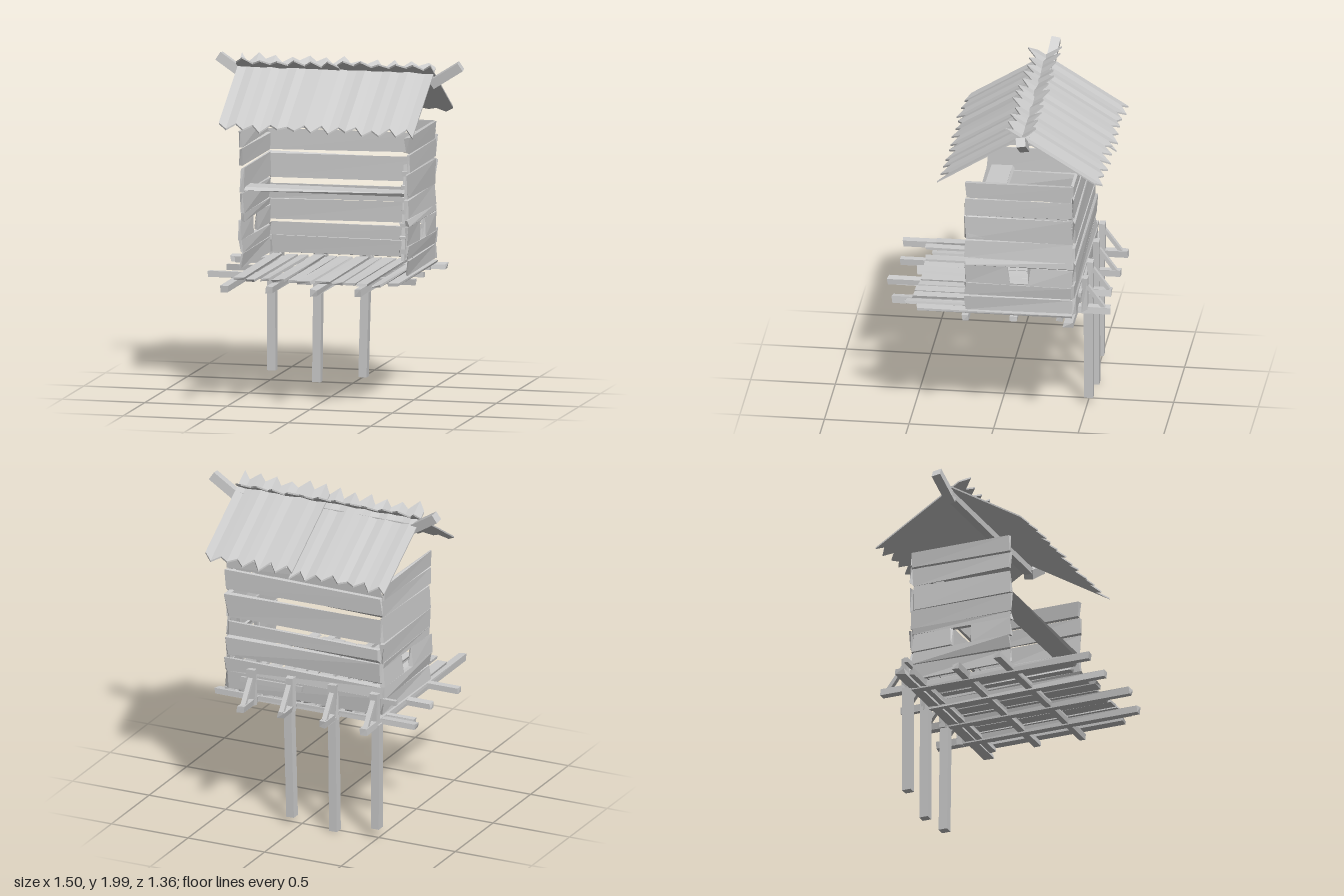
import * as THREE from 'three';

const material = new THREE.MeshStandardMaterial({ color: 0xcccccc, flatShading: true, side: THREE.DoubleSide });

// Seeded generator for rough-cut irregularity
let seed = 7;
const rand = () => {
  seed = (seed * 16807) % 2147483647;
  return seed / 2147483647 - 0.5;
};

export function createModel() {
  const model = new THREE.Group();

  const add = (name, geo) => {
    geo.computeVertexNormals();
    const mesh = new THREE.Mesh(geo, material);
    mesh.name = name;
    model.add(mesh);
    return mesh;
  };

  // Rough board spanning two corners; the eight corners shift by up to half of rough
  const board = (name, [x0, x1], [y0, y1], [z0, z1], rough = [0, 0, 0]) => {
    const geo = new THREE.BoxGeometry(x1 - x0, y1 - y0, z1 - z0);
    const p = geo.attributes.position;
    const shift = Array.from({ length: 8 }, () => rough.map((r) => r * rand()));
    for (let i = 0; i < p.count; i++) {
      const c = (p.getX(i) > 0 ? 1 : 0) + (p.getY(i) > 0 ? 2 : 0) + (p.getZ(i) > 0 ? 4 : 0);
      p.setXYZ(i, p.getX(i) + shift[c][0], p.getY(i) + shift[c][1], p.getZ(i) + shift[c][2]);
    }
    const mesh = add(name, geo);
    mesh.position.set((x0 + x1) / 2, (y0 + y1) / 2, (z0 + z1) / 2);
    return mesh;
  };

  // Straight timber between two points
  const timber = (name, a, b, w, h) => {
    const from = new THREE.Vector3(...a), to = new THREE.Vector3(...b);
    const mesh = add(name, new THREE.BoxGeometry(w, h, from.distanceTo(to)));
    mesh.position.copy(from).add(to).multiplyScalar(0.5);
    mesh.lookAt(to);
    return mesh;
  };

  // Joists, back posts, braces and the three long stilts
  const joists = [
    [-0.48, -0.67, 0.66, 0.06], [-0.21, -0.66, 0.64, 0], [0.07, -0.64, 0.68, 0.04], [0.32, -0.67, 0.62, null],
  ];
  joists.forEach(([x, zBack, zFront, foot], i) => {
    board('joist', [x - 0.022, x + 0.022], [0.7, 0.742], [zBack, zFront], [0.01, 0.008, 0.01]);
    board('backPost', [x - 0.025, x + 0.025], [0.7, 0.915 + 0.01 * (i % 2)], [-0.535, -0.5], [0.01, 0.01, 0]);
    timber('brace', [x, 0.87, -0.53], [x, 0.735, -0.63], 0.03, 0.022);
    if (foot !== null) {
      const z = i === 0 ? -0.5 : -0.508;
      timber('stilt', [x + 0.01 * (i - 1), 0.72, z], [x - 0.008, foot, z], 0.054, 0.05);
    }
  });

  // Cross beams under the deck
  [[-0.45, -0.72, 0.58, 0.06], [-0.39, -0.68, 0.5, 0.035], [-0.12, -0.66, 0.53, 0.04], [0.16, -0.7, 0.55, 0.04]]
    .forEach(([z, x0, x1, w]) =>
      board('crossBeam', [x0, x1], [0.71, 0.742], [z - w / 2, z + w / 2], [0.01, 0.008, 0.008]));

  // Deck slats: x range and front end
  [
    [-0.475, -0.415, 0.455], [-0.39, -0.33, 0.51], [-0.31, -0.26, 0.46], [-0.23, -0.165, 0.49],
    [-0.135, -0.08, 0.485], [-0.07, 0.01, 0.52], [0.03, 0.115, 0.475], [0.13, 0.19, 0.48],
    [0.2, 0.275, 0.495], [0.285, 0.345, 0.5], [0.38, 0.435, 0.53], [0.46, 0.52, 0.455],
  ].forEach(([x0, x1, z]) =>
    board('deckSlat', [x0, x1], [0.744, 0.76], [-0.46, z], [0.012, 0.006, 0.015]));

  // Side walls with a window gap between board pieces
  const full = [-0.465, 0.165];
  const sideBoards = [
    [0.765, 0.855, full], [0.86, 0.932, full],
    [0.935, 1.05, [-0.46, -0.21]], [0.935, 1.05, [-0.09, 0.165]],
    [1.048, 1.09, full], [1.095, 1.21, full], [1.215, 1.36, full], [1.375, 1.475, full], [1.485, 1.58, full],
  ];
  for (const s of [-1, 1]) {
    for (const [y0, y1, z] of sideBoards) {
      const x = s * 0.503 + 0.01 * rand();
      board('sideWallBoard', [x - 0.009, x + 0.009], [y0, y1], z, [0.018, 0.012, 0.022]);
    }
  }

  // Back wall boards
  [[0.77, 0.865], [0.87, 0.945], [0.97, 1.09], [1.095, 1.175], [1.215, 1.36], [1.385, 1.505], [1.51, 1.59]]
    .forEach(([y0, y1]) => {
      const z = -0.473 + 0.01 * rand();
      board('backWallBoard', [-0.5, 0.505], [y0, y1], [z - 0.008, z + 0.008], [0.04, 0.02, 0.01]);
    });
  board('backRail', [0, 0.4], [0.83, 0.86], [-0.505, -0.485], [0.01, 0.01, 0]);
  board('sideStub', [-0.6, -0.48], [0.84, 0.87], [-0.48, -0.455]);

  // Loft shelf across the open front
  board('loftShelf', [-0.49, 0.5], [1.228, 1.246], [0.0, 0.15], [0.02, 0.008, 0.05]);

  // Ladder leaning on the inside of the back wall
  const ladderZ = (y) => -0.36 - ((y - 0.76) / 0.56) * 0.08;
  [[0.34, 1.32], [0.455, 1.31]].forEach(([x, top]) =>
    timber('ladderRail', [x, 0.76, ladderZ(0.76)], [x - 0.003, top, ladderZ(top)], 0.022, 0.022));
  for (let i = 0; i < 7; i++) {
    const y = 0.82 + i * 0.075;
    board('ladderRung', [0.32, 0.475], [y - 0.011, y + 0.011], [ladderZ(y) + 0.005, ladderZ(y) + 0.022], [0.02, 0.012, 0]);
  }

  // Wavy roof sheets with torn edges, crossing each other at the ridge
  const roofSheet = (name, x0, x1, zBack, zFront, slope, lift = 0) => {
    const n = Math.round((x1 - x0) * 19);
    const geo = new THREE.BoxGeometry(x1 - x0, 0.01, 1, n, 1, 1);
    const jag = [-1, 1].map(() =>
      Array.from({ length: n + 1 }, (_, i) => (i % 2 ? 1 : -1) * (0.022 + 0.022 * rand()) + 0.015 * rand()));
    const wave = Array.from({ length: n + 1 }, () => 0.012 * rand());
    const p = geo.attributes.position;
    for (let i = 0; i < p.count; i++) {
      const col = Math.round(((p.getX(i) + (x1 - x0) / 2) / (x1 - x0)) * n);
      const front = p.getZ(i) > 0 ? 1 : 0;
      const z = (front ? zFront : zBack) + jag[front][col];
      const y = 1.91 + slope * (z + 0.17) + wave[col] + lift + p.getY(i);
      p.setXYZ(i, p.getX(i) + (x0 + x1) / 2, y, z);
    }
    return add(name, geo);
  };
  roofSheet('frontRoofSheet', -0.61, 0.575, -0.235, 0.29, -0.62);
  roofSheet('backRoofSheetRight', -0.61, 0.01, -0.63, -0.105, 0.62);
  roofSheet('backRoofSheetLeft', 0, 0.58, -0.63, -0.105, 0.62, 0.006);

  // Ridge pole with upturned ends
  board('ridgePole', [-0.6, 0.58], [1.85, 1.89], [-0.215, -0.165]);
  for (const s of [-1, 1]) {
    const horn = timber('ridgeHorn', [s * 0.56, 1.848, -0.19], [s * 0.735, 1.96, -0.2 + 0.01 * s], 0.055, 0.055);
    horn.rotateZ(0.15);
  }

  return model;
}
